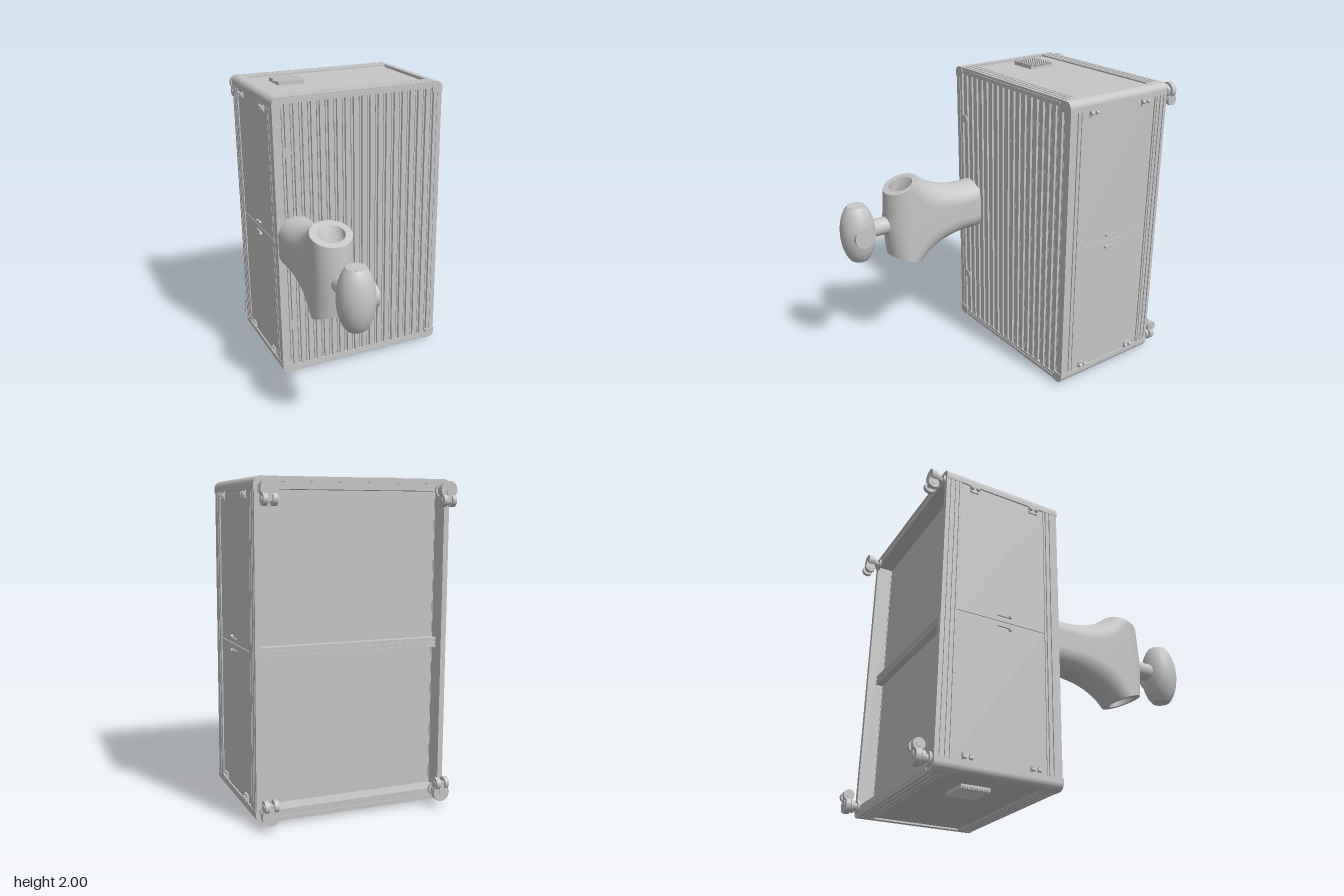
import * as THREE from 'three';

export function createModel() {
  const model = new THREE.Group();
  const grey = new THREE.MeshStandardMaterial({ color: 0xc6c6c6, side: THREE.DoubleSide });
  grey.name = 'grey';

  function add(name, geo, parent = model) {
    const m = new THREE.Mesh(geo, grey);
    m.name = name;
    parent.add(m);
    return m;
  }
  // box given by its limits on each axis
  function box(name, x0, x1, y0, y1, z0, z1, parent = model) {
    const m = add(name, new THREE.BoxGeometry(Math.abs(x1 - x0), Math.abs(y1 - y0), Math.abs(z1 - z0)), parent);
    m.position.set((x0 + x1) / 2, (y0 + y1) / 2, (z0 + z1) / 2);
    return m;
  }
  // cylinder along x, y or z
  function rod(name, axis, r, len, x, y, z, parent = model) {
    const g = new THREE.CylinderGeometry(r, r, len, 28);
    if (axis === 'x') g.rotateZ(Math.PI / 2);
    if (axis === 'z') g.rotateX(Math.PI / 2);
    const m = add(name, g, parent);
    m.position.set(x, y, z);
    return m;
  }
  // skin over rings of equal point count
  function loft(rings, closed) {
    const n = rings[0].length, idx = [];
    for (let i = 0; i < rings.length - 1; i++) {
      for (let j = 0; j < (closed ? n : n - 1); j++) {
        const k = (j + 1) % n, a = i * n, b = a + n;
        idx.push(a + j, a + k, b + j, a + k, b + k, b + j);
      }
    }
    const g = new THREE.BufferGeometry();
    g.setAttribute('position', new THREE.Float32BufferAttribute(rings.flat(2), 3));
    g.setIndex(idx);
    g.computeVertexNormals();
    return g;
  }

  const BACK = -0.853, FRONT = -0.048;

  // cabinet core
  box('cabinetCore', -0.58, 0.58, 0.05, 1.95, -0.735, -0.09);

  // rounded corner beams running front to back
  const corner = new THREE.Shape();
  corner.moveTo(-0.075, -0.07);
  corner.lineTo(0, -0.07);
  corner.lineTo(0, -0.045);
  corner.absarc(-0.045, -0.045, 0.045, 0, Math.PI / 2, false);
  corner.lineTo(-0.075, 0);
  corner.closePath();
  for (const sx of [-1, 1]) for (const sy of [-1, 1]) {
    const g = new THREE.ExtrudeGeometry(corner, { depth: 0.81, bevelEnabled: false, curveSegments: 8 });
    if (sx < 0) g.rotateY(Math.PI).translate(0, 0, 0.81);
    if (sy < 0) g.rotateX(Math.PI).translate(0, 0, 0.81);
    add('cornerBeam', g).position.set(sx * 0.612, sy > 0 ? 1.985 : 0.02, BACK);
  }

  // grooved rails across the width and stiles up the height, front and back
  for (const [z0, z1] of [[-0.15, FRONT], [BACK, -0.74]]) {
    const isFront = z1 === FRONT;
    for (const s of [-1, 1]) {
      const y = (d) => 1.002 + s * (0.982 - d);
      box('rail', -0.54, 0.54, y(isFront ? 0.045 : 0.07), y(0.012), z0, z1);
      box('stile', s * 0.575, s * 0.6, 0.085, 1.915, z0, z1);
      for (const [r, w] of [[0, 0.022], [0.03, 0.024], [0.062, 0.022], [0.09, 0.012]]) {
        const a = isFront ? z1 - r : z0 + r, b = isFront ? a - w : a + w;
        box('railRib', -0.54, 0.54, y(0.02), y(0), a, b);
        box('stileRib', s * 0.59, s * 0.609, 0.085, 1.915, a, b);
      }
      // raised strip on the outer face of the rail
      const f = isFront ? FRONT : BACK, o = isFront ? 0.005 : -0.005;
      box('railStrip', -0.52, 0.51, y(0.029), y(0.016), f, f + o);
    }
  }

  // top and bottom panels with louvred vents
  for (const s of [-1, 1]) {
    const y = (h) => 1 + s * h;
    box('endPanel', -0.52, 0.515, y(0.93), y(0.974), -0.755, -0.145);
    box('ventBase', -0.425, -0.24, y(0.96), y(0.988), -0.6, -0.415);
    for (let i = 0; i < 18; i++) {
      const z = -0.6 + i * 0.01055;
      box('ventSlat', -0.425, -0.24, y(0.985), y(1), z, z + 0.0055);
    }
  }

  // side doors, hinges and latches
  for (const s of [-1, 1]) for (const t of [-1, 1]) {
    const y = (h) => 1.002 + t * h;
    box('sideDoor', s * 0.57, s * 0.603, y(0.002), y(0.912), -0.748, -0.148);
    for (const z of [-0.23, -0.66]) {
      box('hingeLeaf', s * 0.6, s * 0.612, y(0.865), y(0.92), z - 0.03, z + 0.03);
      for (const d of [-0.02, 0.02]) {
        rod('hingePin', 'z', 0.011, 0.02, s * 0.616, y(0.893), z + d);
        rod('hingeScrew', 'x', 0.006, 0.006, s * 0.613, y(0.873), z + d);
      }
    }
    rod('latchPivot', 'x', 0.011, 0.022, s * 0.61, y(0.043), -0.395);
    box('latchHandle', s * 0.6, s * 0.613, y(0.033), y(0.038), -0.48, -0.39);
  }

  // ribbed front panel
  box('frontPanel', -0.6, 0.6, 0.065, 1.938, -0.1, -0.072);
  for (let i = 0; i < 20; i++) {
    const x = -0.585 + i * 0.0598;
    box('frontSlat', x, x + 0.034, 0.065, 1.938, -0.08, FRONT - 0.004);
    box('frontBead', x + 0.042, x + 0.049, 0.065, 1.938, -0.08, -0.06);
  }
  for (const s of [-1, 1]) {
    box('frontEdge', s * 0.59, s * 0.609, 0.085, 1.915, -0.09, FRONT);
    rod('frontButton', 'z', 0.03, 0.03, -0.52, 1.005 + s * 0.615, -0.06);
  }

  // back panels set behind the frame, with a middle rail
  for (const [y0, y1] of [[0.06, 0.97], [1.03, 1.94]]) box('backPanel', -0.58, 0.58, y0, y1, -0.745, -0.73);
  box('backRail', -0.58, 0.58, 0.97, 1.03, -0.787, -0.73);
  for (const y of [0.97, 0.994, 1.018]) box('backRailRib', -0.58, 0.58, y, y + 0.012, -0.795, -0.78);

  // swivel castors on the back corners
  for (const sx of [-1, 1]) for (const sy of [-1, 1]) {
    const castor = new THREE.Group();
    castor.name = 'castor';
    castor.position.set(sx * 0.55, 1.002 + sy * 0.915, BACK);
    model.add(castor);
    rod('castorPlate', 'z', 0.042, 0.014, 0, 0, -0.007, castor);
    rod('castorStem', 'z', 0.024, 0.06, 0, 0, -0.03, castor);
    rod('castorCollar', 'z', 0.042, 0.02, 0, 0, -0.044, castor);
    rod('castorSwivel', 'z', 0.053, 0.034, 0, 0, -0.078, castor);
    box('castorFork', -0.014, 0.014, 0, -sy * 0.07, -0.1, -0.055, castor);
    for (const d of [-1, 1]) {
      rod('castorWheel', 'x', 0.036, 0.026, d * 0.028, -sy * 0.06, -0.078, castor);
      rod('castorHub', 'x', 0.016, 0.032, d * 0.029, -sy * 0.06, -0.078, castor);
    }
  }

  // flared arm: outer edge and centre line of its upper half, as [z, height]
  const arm = new THREE.Group();
  arm.name = 'arm';
  arm.position.set(-0.47, 1.003, 0);
  model.add(arm);
  const edge = [[-0.08, 0.18], [0.06, 0.18], [0.14, 0.19], [0.22, 0.21], [0.29, 0.238], [0.35, 0.272], [0.4, 0.312]];
  const axis = [[-0.08, 0.06], [0.08, 0.055], [0.19, 0.06], [0.29, 0.08], [0.38, 0.12], [0.45, 0.18], [0.518, 0.27]];
  const curve = (pts) => new THREE.CatmullRomCurve3(pts.map(([z, y]) => new THREE.Vector3(0, y, z)));
  const edgeCurve = curve(edge), axisCurve = curve(axis);
  const N = 20, R = 0.134;
  // elliptical arc from angle a to b about c, reaching p at a quarter turn
  function arc(c, p, a, b, n, scale = 1, side = 1) {
    return Array.from({ length: n + 1 }, (_, i) => {
      const t = a + (b - a) * i / n, s = Math.sin(t) * scale;
      return [R * scale * Math.cos(t), side * (c.y + s * (p.y - c.y)), c.z + s * (p.z - c.z)];
    });
  }
  const sections = [];
  for (let i = 0; i <= 18; i++) {
    const p = edgeCurve.getPoint(i / 18), c = axisCurve.getPoint(i / 18);
    sections.push([...arc(c, p, 0, Math.PI, N), ...arc(c, p, Math.PI, 0, N, 1, -1)]);
  }
  add('armBody', loft(sections, true), arm);

  // rounded front of the arm, open rims and the bent bore between them
  const c = axisCurve.getPoint(1), p = edgeCurve.getPoint(1);
  const mid = new THREE.Vector3(0, 0, 0.518), midBack = new THREE.Vector3(0, 0, 0.376);
  add('armFront', loft([
    arc(c, p, 0, -Math.PI, N), arc(mid, midBack, 0, -Math.PI, N), arc(c, p, 0, -Math.PI, N, 1, -1),
  ], false), arm);
  const ring = (scale, side) => arc(c, p, 0, Math.PI * 2, 2 * N, scale, side);
  for (const s of [1, -1]) add('armRim', loft([ring(1, s), ring(0.66, s)], false), arm);
  const throat = arc(new THREE.Vector3(0, 0, 0.603), new THREE.Vector3(0, 0, 0.545), 0, Math.PI * 2, 2 * N, 0.66);
  add('armBore', loft([ring(0.66, 1), throat, ring(0.66, -1)], false), arm);

  // neck and barrel-shaped knob
  rod('neck', 'z', 0.06, 0.14, 0, 0, 0.71, arm);
  rod('neckCollar', 'z', 0.05, 0.03, 0, 0, 0.765, arm);
  const profile = [];
  for (let i = 0; i <= 24; i++) {
    const y = -0.195 + 0.39 * i / 24;
    profile.push(new THREE.Vector2(0.118 * Math.sqrt(1 - (y / 0.227) ** 2), y));
  }
  add('knob', new THREE.LatheGeometry(profile, 40), arm).position.z = 0.86;
  for (const s of [-1, 1]) rod('knobCap', 'y', 0.06, 0.004, 0, s * 0.194, 0.86, arm);
  rod('knobButton', 'x', 0.073, 0.1, 0.07, 0, 0.86, arm);

  return model;
}
